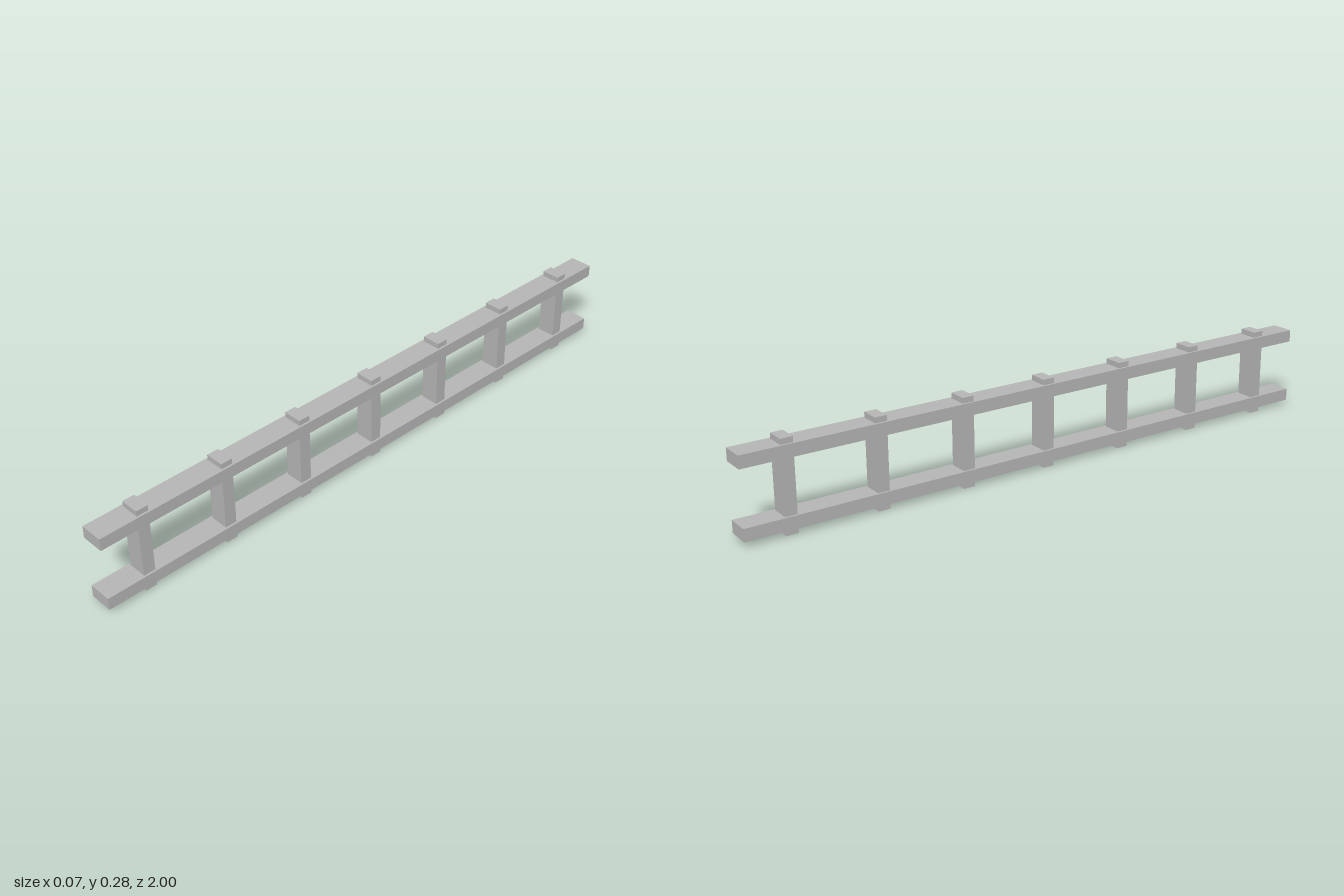
import * as THREE from 'three';

export function createModel() {
  const ladder = new THREE.Group();
  ladder.name = 'ladder';
  const grey = new THREE.MeshStandardMaterial({ color: 0xb4b4b4 });
  grey.name = 'plain grey';

  function addBox(name, w, h, d, y, z) {
    const mesh = new THREE.Mesh(new THREE.BoxGeometry(w, h, d), grey);
    mesh.name = name;
    mesh.position.set(0, y, z);
    ladder.add(mesh);
  }

  // Two long side rails
  addBox('lowerRail', 0.074, 0.039, 2, 0.0365, 0);
  addBox('upperRail', 0.074, 0.039, 2, 0.2445, 0);

  // Seven evenly spaced rungs, with ends passing through the rails
  for (let i = -3; i <= 3; i++) {
    addBox(`rung${i + 4}`, 0.06, 0.281, 0.038, 0.1405, (i * 2) / 7);
  }
  return ladder;
}
